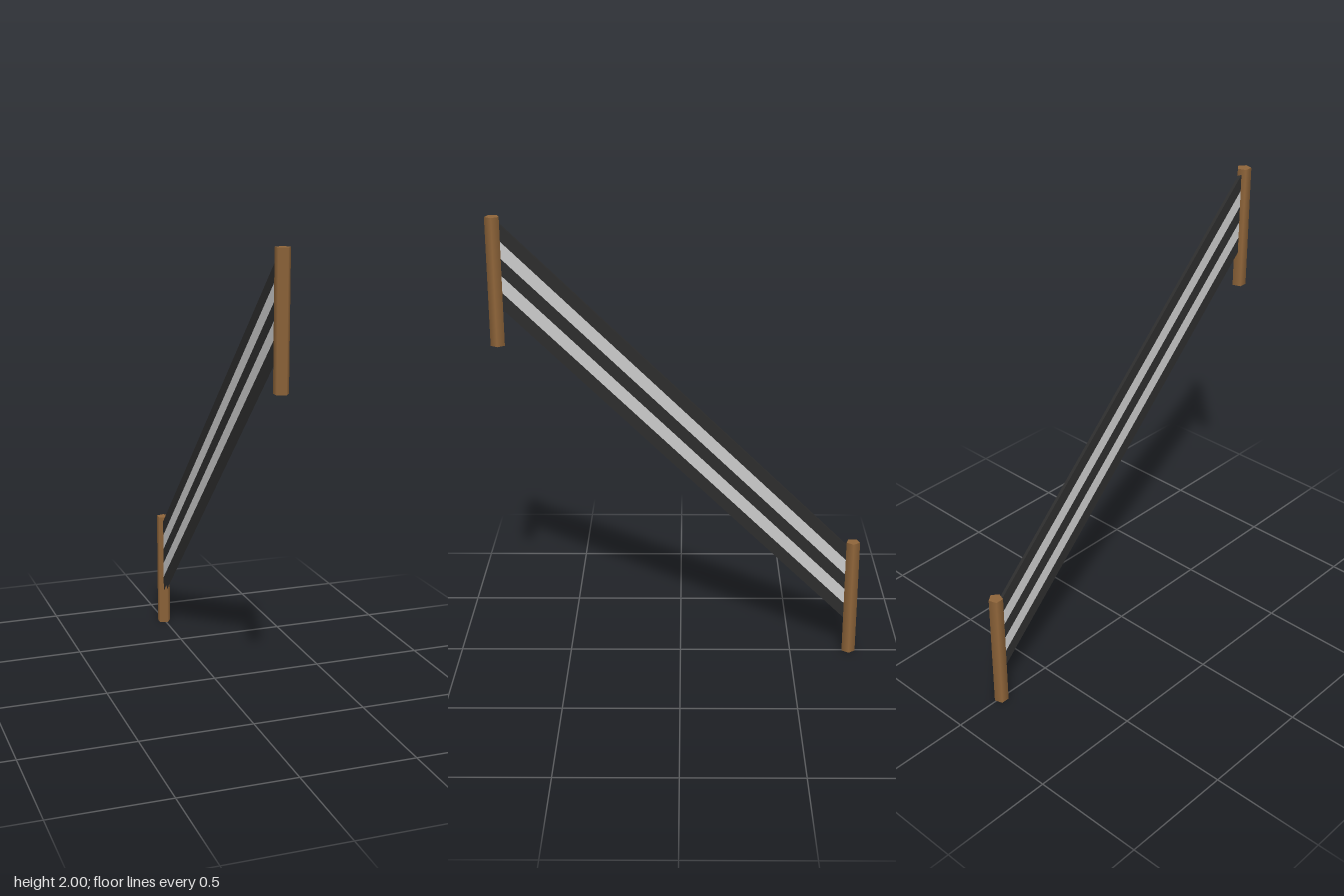
import * as THREE from 'three';

const CENTER_X = -0.003;   // shared centre line of posts and band
const SLOPE = 0.976;       // rise of the band per unit of z
const END_Z = 0.752;       // band ends, just inside the posts
const HALF_THICK = 0.007;
const TOP_Y = 1.25;        // upper edge of the band at z = 0
const STRIPE = 0.072;      // height of one stripe

// Four-cornered sheet
function sheet(a, b, c, d, material, name) {
  const geometry = new THREE.BufferGeometry();
  geometry.setAttribute('position', new THREE.Float32BufferAttribute([...a, ...b, ...c, ...d], 3));
  geometry.setIndex([0, 1, 2, 0, 2, 3]);
  geometry.computeVertexNormals();
  const mesh = new THREE.Mesh(geometry, material);
  mesh.name = name;
  return mesh;
}

export function createModel() {
  const wood = new THREE.MeshStandardMaterial({ color: 0x8f653a });
  wood.name = 'brown wood';
  const dark = new THREE.MeshStandardMaterial({ color: 0x2d2d2d, side: THREE.DoubleSide });
  dark.name = 'dark band';
  const pale = new THREE.MeshStandardMaterial({ color: 0xcacaca, side: THREE.DoubleSide });
  pale.name = 'pale stripe';

  const model = new THREE.Group();
  model.name = 'slopedFence';

  // Five-sided posts, one corner pointing to +x
  const postGeometry = new THREE.CylinderGeometry(0.0315, 0.0315, 0.545, 5);
  postGeometry.rotateY(Math.PI / 2);
  for (const [name, bottom, z] of [['upperPost', 1.455, 0.767], ['lowerPost', 0, -0.767]]) {
    const post = new THREE.Mesh(postGeometry, wood);
    post.name = name;
    post.position.set(CENTER_X, bottom + 0.2725, z);
    model.add(post);
  }

  // Sloped band: alternating stripes on both sides, closed along the top
  const band = new THREE.Group();
  band.name = 'stripedBand';
  band.position.x = CENTER_X;
  const point = (x, drop, z) => [x, TOP_Y - drop + SLOPE * z, z];
  for (let i = 0; i < 5; i++) {
    const top = i * STRIPE, bottom = top + STRIPE;
    for (const side of [1, -1]) {
      const x = side * HALF_THICK, near = side * END_Z;
      band.add(sheet(
        point(x, bottom, near), point(x, bottom, -near), point(x, top, -near), point(x, top, near),
        i % 2 ? pale : dark, (side > 0 ? 'leftStripe' : 'rightStripe') + (i + 1)));
    }
  }
  band.add(sheet(
    point(-HALF_THICK, 0, END_Z), point(HALF_THICK, 0, END_Z),
    point(HALF_THICK, 0, -END_Z), point(-HALF_THICK, 0, -END_Z), dark, 'bandTopEdge'));
  model.add(band);

  return model;
}
